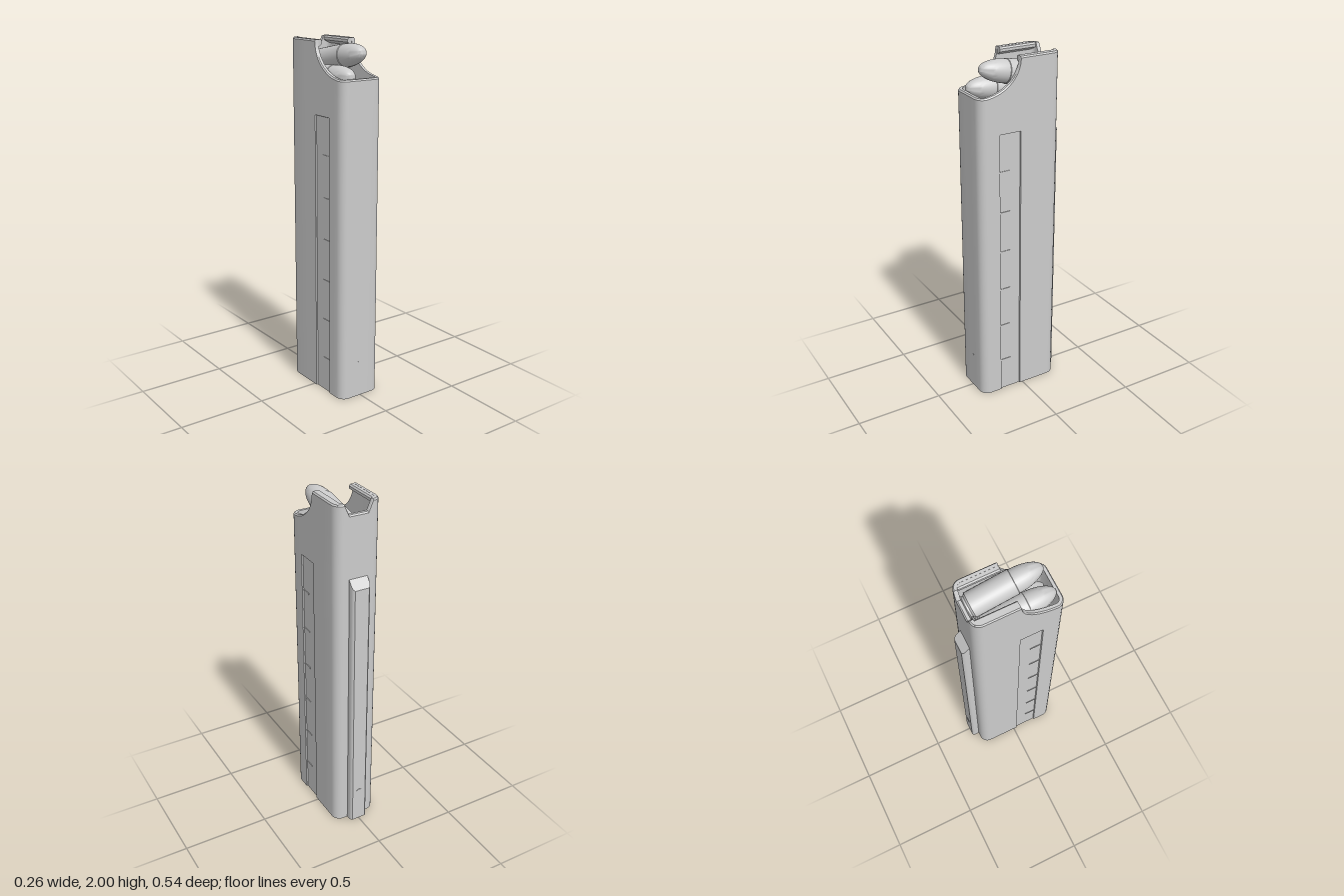
import * as THREE from 'three';
import { toCreasedNormals } from 'three/addons/utils/BufferGeometryUtils.js';

const mat = new THREE.MeshStandardMaterial({ color: 0xcccccc });
const X = 0.132, FRONT = 0.267, BACK = -0.225, R = 0.05, WALL = 0.022;

function add(group, name, geo, x = 0, y = 0, z = 0) {
  const m = new THREE.Mesh(geo, mat);
  m.name = name;
  m.position.set(x, y, z);
  group.add(m);
  return m;
}

// Outline of the tube with outward normals, counterclockwise from above
function outline() {
  const half = [{ x: 0.03, z: FRONT, nx: 0, nz: 1 }];
  const corner = (cz, a0) => {
    for (let i = 0; i <= 6; i++) {
      const a = a0 - (i / 6) * Math.PI / 2, nx = Math.cos(a), nz = Math.sin(a);
      half.push({ x: X - R + R * nx, z: cz + R * nz, nx, nz });
    }
  };
  corner(FRONT - R, Math.PI / 2);
  for (const z of [0.18, 0.148, 0.146, 0.12, 0.095, 0.075, 0.058, 0.045, 0.035, 0.027, 0.023, 0.021, 0.019, -0.08])
    half.push({ x: X, z, nx: 1, nz: 0, dent: z < 0.147 && z > 0.02 });
  corner(BACK + R, 0);
  half.push({ x: 0.055, z: BACK, nx: 0, nz: -1 });
  return [...half, ...half.slice().reverse().map(p => ({ ...p, x: -p.x, nx: -p.nx }))];
}

// Top edge: scooped towards the front, notched at the back
function topHeight(p) {
  if (p.z < BACK + 0.001 && Math.abs(p.x) < 0.06) return 1.94;
  const t = THREE.MathUtils.clamp((p.z - 0.02) / 0.23, 0, 1);
  return 2 - 0.19 * Math.sqrt(1 - (1 - t) ** 2);
}

function tubeGeometry() {
  const pts = outline(), n = pts.length;
  const dent = p => (p.dent ? 0.008 : 0);
  // Each ring gives inset and height: outside upwards, over the rim, down inside
  const rings = [
    p => [dent(p), 0], p => [dent(p), 1.6], () => [0, 1.603],
    p => [0, topHeight(p) - 0.008], p => [0.006, topHeight(p)],
    p => [WALL, topHeight(p)], () => [WALL, 0], p => [dent(p), 0],
  ];
  const pos = [], idx = [];
  for (const ring of rings) for (const p of pts) {
    const [inset, y] = ring(p);
    pos.push(p.x - p.nx * inset, y, p.z - p.nz * inset);
  }
  for (let j = 0; j < rings.length - 1; j++) for (let i = 0; i < n; i++) {
    const k = (i + 1) % n, a = j * n + i, b = j * n + k;
    idx.push(a, b, b + n, a, b + n, a + n);
  }
  const g = new THREE.BufferGeometry();
  g.setAttribute('position', new THREE.Float32BufferAttribute(pos, 3));
  g.setIndex(idx);
  return toCreasedNormals(g, 0.5);
}

// Horizontal slab from an outline in x and z, bottom at y = 0
function slab(points, height) {
  const shape = new THREE.Shape(points.map(([x, z]) => new THREE.Vector2(x, -z)));
  return new THREE.ExtrudeGeometry(shape, { depth: height, bevelEnabled: false }).rotateX(-Math.PI / 2);
}

// Round with a grooved base, straight case and rounded nose, pointing to +z
function roundGeometry() {
  const p = [[0, 0], [0.058, 0], [0.063, 0.004], [0.063, 0.012], [0.055, 0.016], [0.055, 0.026],
    [0.066, 0.036], [0.066, 0.268], [0.063, 0.27]];
  for (let i = 1; i <= 14; i++) {
    const a = (i / 14) * Math.PI / 2;
    p.push([0.063 * Math.cos(a), 0.27 + 0.156 * Math.sin(a)]);
  }
  const lathe = new THREE.LatheGeometry(p.map(([r, y]) => new THREE.Vector2(Math.max(r, 0), y)), 32);
  return toCreasedNormals(lathe.rotateX(Math.PI / 2), 0.6);
}

export function createModel() {
  const g = new THREE.Group();
  g.name = 'magazine';
  add(g, 'tube', tubeGeometry());

  // Floor plate set just inside the tube
  add(g, 'floorPlate', slab(outline().map(p => [p.x - p.nx * 0.02, p.z - p.nz * 0.02]), 0.02), 0, 0.004, 0);

  // Inward lips along the top edges
  const lip = new THREE.Shape([[0.115, 1.955], [0.115, 1.999], [0.092, 1.999], [0.085, 1.99], [0.085, 1.975]]
    .map(([x, y]) => new THREE.Vector2(x, y)));
  const lipGeo = new THREE.ExtrudeGeometry(lip, { depth: 0.228, bevelEnabled: false });
  for (const s of [1, -1]) add(g, s > 0 ? 'leftLip' : 'rightLip', lipGeo, 0, 0, -0.21).scale.x = s;

  // Rear rib with a sloping top
  const rib = slab([[-0.054, -0.22], [0.054, -0.22], [0.054, -0.25], [0.05, -0.261], [0.042, -0.267],
    [-0.042, -0.267], [-0.05, -0.261], [-0.054, -0.25]].reverse(), 1.59);
  const rp = rib.attributes.position;
  for (let i = 0; i < rp.count; i++)
    if (rp.getY(i) > 1) rp.setY(i, 1.59 + (rp.getZ(i) + 0.225) * 1.2);
  add(g, 'rearRib', toCreasedNormals(rib, 0.6));

  // Small cross pin showing at the front and rear
  const pin = new THREE.CylinderGeometry(0.018, 0.018, 0.006, 20).rotateX(Math.PI / 2);
  add(g, 'frontPin', pin, 0, 0.205, FRONT - 0.002);
  add(g, 'rearPin', pin, 0, 0.205, -0.266);

  // Short marks in the side recesses
  const mark = new THREE.BoxGeometry(0.006, 0.008, 0.062);
  for (const s of [1, -1]) for (let i = 0; i < 6; i++)
    add(g, 'sideMark', mark, s * (X - 0.008), 0.2 + i * 0.238, 0.114);

  // Staggered stack of rounds: x, base height, base z, upward tilt
  const round = roundGeometry();
  const stack = [[0.043, 1.86, -0.2, 0.19], [-0.05, 1.78, -0.177, 0.1]];
  for (let i = 0; i < 4; i++) stack.push([i % 2 ? -0.043 : 0.043, 1.69 - i * 0.1, -0.19, 0.05]);
  for (const [x, y, z, tilt] of stack) add(g, 'round', round, x, y, z).rotation.x = -tilt;
  return g;
}
